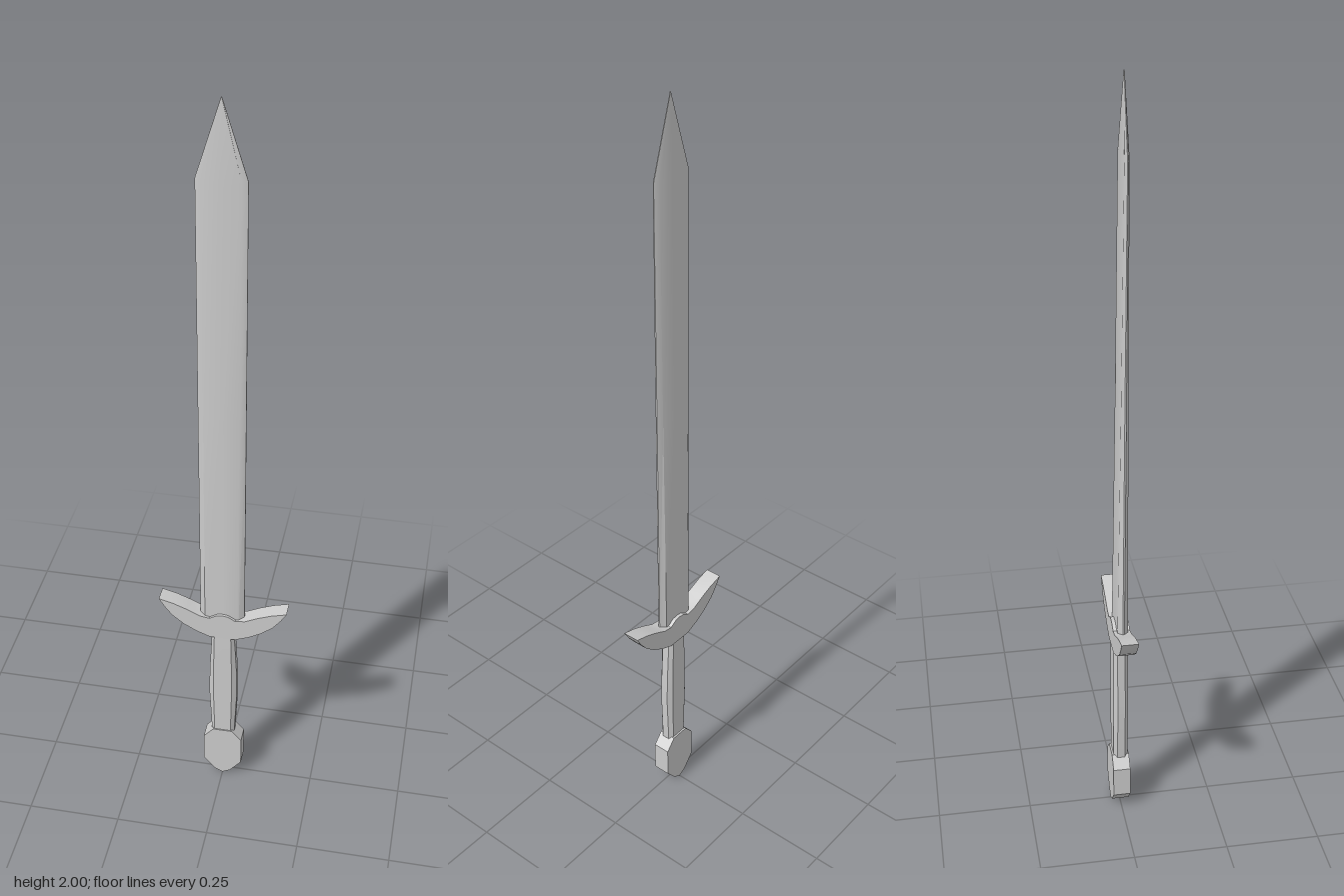
import * as THREE from 'three';
import { toCreasedNormals } from 'three/addons/utils/BufferGeometryUtils.js';

const material = new THREE.MeshStandardMaterial({ color: 0xcccccc });

function addPart(group, name, geometry) {
  const mesh = new THREE.Mesh(geometry, material);
  mesh.name = name;
  group.add(mesh);
}

// Joins rings of equal point count, listed from bottom to top, and caps both ends
function loft(rings, crease) {
  const n = rings[0].length;
  const index = [];
  for (let r = 0; r < rings.length - 1; r++) {
    for (let i = 0; i < n; i++) {
      const a = r * n + i, b = r * n + (i + 1) % n;
      index.push(a, a + n, b, b, a + n, b + n);
    }
  }
  const top = (rings.length - 1) * n;
  for (let i = 1; i < n - 1; i++) {
    index.push(0, i, i + 1, top, top + i + 1, top + i);
  }
  const geometry = new THREE.BufferGeometry();
  geometry.setAttribute('position', new THREE.Float32BufferAttribute(rings.flat(2), 3));
  geometry.setIndex(index);
  return toCreasedNormals(geometry, crease);
}

// Chamfered flat cross-section, clockwise in x/z as drawn with z down
function section(y, halfWidth, flatWidth, depth, edgeDepth, cx = 0, cz = 0) {
  return [
    [halfWidth, edgeDepth], [flatWidth, depth], [0, depth], [-flatWidth, depth], [-halfWidth, edgeDepth],
    [-halfWidth, -edgeDepth], [-flatWidth, -depth], [0, -depth], [flatWidth, -depth], [halfWidth, -edgeDepth],
  ].map(([x, z]) => [cx + x, y, cz + z]);
}

// Symmetric plate from its right half outline, running from top centre to bottom centre
function plate(half, z0, z1) {
  const mirrored = half.filter(([x]) => x > 0).reverse().map(([x, y]) => [-x, y]);
  const shape = new THREE.Shape([...half, ...mirrored].map(([x, y]) => new THREE.Vector2(x, y)));
  const geometry = new THREE.ExtrudeGeometry(shape, { depth: z1 - z0, bevelEnabled: false });
  geometry.translate(0, 0, z0);
  return toCreasedNormals(geometry, 0.35);
}

export function createModel() {
  const sword = new THREE.Group();
  sword.name = 'sword';

  // Tapering blade, leaning slightly forward, with a pointed tip
  addPart(sword, 'blade', loft([
    section(0.55, 0.059, 0.045, 0.014, 0.002, -0.003, 0.001),
    section(1.2, 0.059, 0.045, 0.009, 0.002, -0.003, 0.005),
    section(1.815, 0.059, 0.045, 0.006, 0.001, -0.003, 0.009),
    section(2.0, 0.001, 0.0006, 0.001, 0.0005, -0.003, 0.01),
  ], 0.5));

  // Crescent guard with a small central bump
  addPart(sword, 'guard', plate([
    [0, 0.59], [0.015, 0.588], [0.035, 0.576], [0.06, 0.58], [0.095, 0.597], [0.13, 0.611], [0.17, 0.622],
    [0.155, 0.597], [0.135, 0.571], [0.105, 0.546], [0.07, 0.526], [0.035, 0.512], [0, 0.512],
  ], -0.022, 0.022));

  // Chamfered grip that swells a little below the middle
  addPart(sword, 'grip', loft([
    section(0.15, 0.031, 0.022, 0.019, 0.01),
    section(0.3, 0.038, 0.025, 0.02, 0.01),
    section(0.38, 0.037, 0.025, 0.02, 0.01),
    section(0.52, 0.03, 0.022, 0.019, 0.01),
  ], 0.4));

  // Faceted pommel with a blunt point at the bottom
  addPart(sword, 'pommel', plate([
    [0, 0.167], [0.026, 0.167], [0.053, 0.135], [0.053, 0.05], [0.022, 0.012], [0, 0],
  ], -0.024, 0.022));

  return sword;
}
